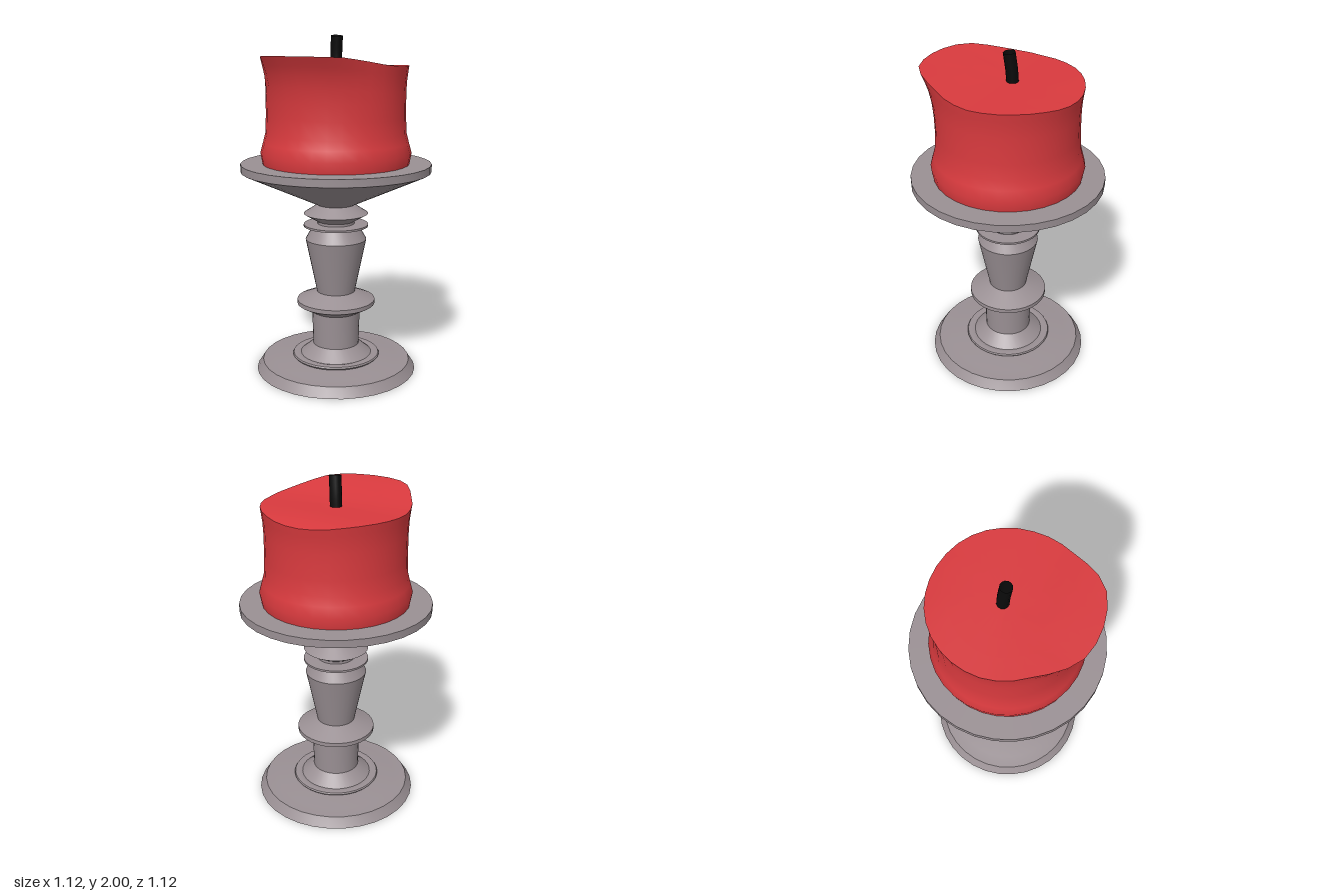
import * as THREE from 'three';
import { toCreasedNormals } from 'three/addons/utils/BufferGeometryUtils.js';

const SEGMENTS = 32;
const points = (list) => list.map(([r, y]) => new THREE.Vector2(r, y));

function addMesh(group, name, geometry, color, side = THREE.FrontSide) {
  const mesh = new THREE.Mesh(geometry, new THREE.MeshStandardMaterial({ color, side }));
  mesh.name = name;
  group.add(mesh);
}

// Turned part: [radius, height] profile from bottom to top
function turned(profile) {
  return toCreasedNormals(new THREE.LatheGeometry(points(profile), SEGMENTS), 0.42);
}

// Height of the melted candle top, rising toward the front lip
const topCurve = [[-0.42, 1.81], [-0.36, 1.825], [-0.27, 1.833], [0, 1.833], [0.14, 1.845], [0.245, 1.865], [0.39, 1.89], [0.49, 1.895]];
function topHeight(z) {
  let i = 1;
  while (i < topCurve.length - 1 && z > topCurve[i][0]) i++;
  const [z0, y0] = topCurve[i - 1], [z1, y1] = topCurve[i];
  return y0 + (y1 - y0) * THREE.MathUtils.clamp((z - z0) / (z1 - z0), 0, 1);
}

function candleGeometry() {
  const foot = 1.45, rim = 1.835;
  const profile = [
    [0, 1.27], [0.43, 1.27], [0.442, 1.335], [0.425, 1.395], [0.411, 1.45], [0.406, 1.54], [0.405, 1.62],
    [0.405, 1.69], [0.408, 1.75], [0.413, 1.79], [0.419, rim],
    [0.405, rim], [0.3, rim], [0.2, rim], [0.1, rim], [0, rim],
  ];
  const geometry = new THREE.LatheGeometry(points(profile), SEGMENTS);
  const pos = geometry.attributes.position;
  for (let i = 0; i < pos.count; i++) {
    let x = pos.getX(i), z = pos.getZ(i);
    const y = pos.getY(i);
    if (y <= foot) continue;
    // Push the upper front outward into a pouring lip
    const t = (y - foot) / (rim - foot);
    const angle = Math.abs(Math.atan2(x, z));
    const lip = 1 - THREE.MathUtils.smoothstep(angle, 0.3, 1.05);
    const scale = 1 + 0.17 * lip * t ** 3;
    x *= scale;
    z *= scale;
    // Stretch the wall to meet the uneven top
    pos.setXYZ(i, x, foot + t * (topHeight(z) - foot), z);
  }
  return toCreasedNormals(geometry, 0.7);
}

export function createModel() {
  const model = new THREE.Group();
  model.name = 'candleOnHolder';
  const holder = new THREE.Group();
  holder.name = 'holder';
  model.add(holder);
  const metal = 0x9a9094;

  // Foot with a raised ring around the stem
  addMesh(holder, 'foot', turned([
    [0, 0], [0.485, 0], [0.458, 0.04], [0.448, 0.057], [0.37, 0.06], [0.275, 0.073],
    [0.255, 0.073], [0.265, 0.084], [0.26, 0.093], [0.235, 0.097], [0.215, 0.092], [0.14, 0.155],
  ]), metal);

  // Stem with collar and tapered grip
  addMesh(holder, 'stem', turned([
    [0.14, 0.155], [0.145, 0.36], [0.235, 0.41], [0.235, 0.435], [0.115, 0.485],
    [0.182, 0.81], [0.14, 0.885], [0.193, 0.89], [0.193, 0.902], [0.11, 0.905],
    [0.11, 0.92], [0.192, 0.967], [0.11, 1.02],
  ]), metal);

  // Flared plate
  addMesh(holder, 'plate', turned([
    [0.11, 1.02], [0.56, 1.225], [0.56, 1.27], [0, 1.27],
  ]), metal);

  addMesh(model, 'candle', candleGeometry(), 0xd93a3e);

  // Slightly bent open wick
  const wickPath = new THREE.CatmullRomCurve3([
    new THREE.Vector3(-0.012, 1.82, -0.022),
    new THREE.Vector3(-0.008, 1.9, -0.018),
    new THREE.Vector3(0.002, 2.0, -0.008),
  ]);
  addMesh(model, 'wick', new THREE.TubeGeometry(wickPath, 6, 0.034, 12), 0x0a0a0a, THREE.DoubleSide);

  return model;
}
